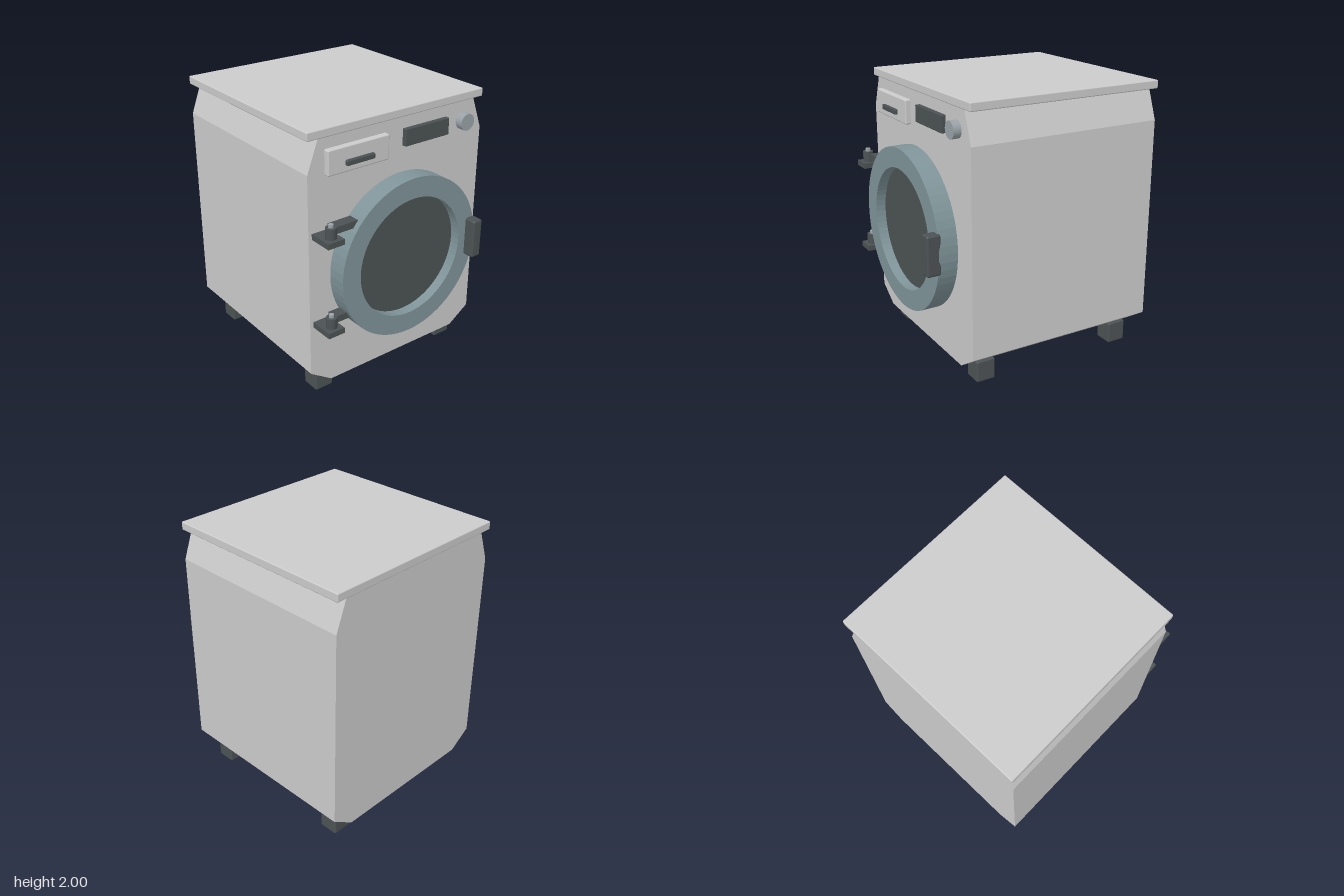
import * as THREE from 'three';
import { RoundedBoxGeometry } from 'three/addons/geometries/RoundedBoxGeometry.js';

const material = (color) => new THREE.MeshStandardMaterial({ color });
const grey = material(0xcccccc);
const dark = material(0x4c5254);
const teal = material(0x7f9499);
const steel = material(0x9ba3a9);

function add(parent, name, geometry, mat) {
  const mesh = new THREE.Mesh(geometry, mat);
  mesh.name = name;
  parent.add(mesh);
  return mesh;
}

// Box given by its [min, max] on each axis, with an optional edge radius
function box(parent, name, [x0, x1], [y0, y1], [z0, z1], mat, radius = 0) {
  const size = [x1 - x0, y1 - y0, z1 - z0];
  const geometry = radius ? new RoundedBoxGeometry(...size, 2, radius) : new THREE.BoxGeometry(...size);
  const mesh = add(parent, name, geometry, mat);
  mesh.position.set((x0 + x1) / 2, (y0 + y1) / 2, (z0 + z1) / 2);
  return mesh;
}

// Cylinder along z between two depths
function disc(parent, name, x, y, radius, z0, z1, mat) {
  const geometry = new THREE.CylinderGeometry(radius, radius, z1 - z0, 32).rotateX(Math.PI / 2);
  const mesh = add(parent, name, geometry, mat);
  mesh.position.set(x, y, (z0 + z1) / 2);
  return mesh;
}

export function createModel() {
  const model = new THREE.Group();
  model.name = 'washingMachine';

  // Cabinet: chamfered front outline extruded to the back
  const half = [[0.57, 0.13], [0.74, 0.245], [0.74, 1.72], [0.655, 1.95]];
  const outline = [...half, ...half.map(([x, y]) => [-x, y]).reverse()];
  const cabinet = new THREE.Shape(outline.map(([x, y]) => new THREE.Vector2(x, y)));
  add(model, 'cabinet', new THREE.ExtrudeGeometry(cabinet, { depth: 1.46, bevelEnabled: false }), grey)
    .position.z = -0.845;
  box(model, 'topPanel', [-0.742, 0.742], [1.94, 2], [-0.855, 0.62], grey, 0.008);

  // Feet
  for (const x of [-0.568, 0.568]) {
    for (const z of [-0.683, 0.457]) {
      box(model, 'foot', [x - 0.072, x + 0.072], [0, 0.16], [z - 0.072, z + 0.072], dark, 0.012);
    }
  }

  // Round door: open ring, recessed window and handle
  const door = new THREE.Group();
  door.name = 'door';
  model.add(door);
  const ring = new THREE.Shape().absarc(0, 0, 0.586, 0, Math.PI * 2, false);
  ring.holes.push(new THREE.Path().absarc(0, 0, 0.44, 0, Math.PI * 2, true));
  add(door, 'doorRing', new THREE.ExtrudeGeometry(ring, { depth: 0.138, bevelEnabled: false, curveSegments: 32 }), teal)
    .position.set(0, 0.98, 0.635);
  disc(door, 'doorWindow', 0, 0.98, 0.445, 0.645, 0.7, dark);
  box(door, 'doorHandle', [0.503, 0.584], [0.84, 1.128], [0.755, 0.857], dark, 0.015);

  // Hinges: wall plate, knuckle, pin and arm
  for (const y of [0.615, 1.275]) {
    const hinge = new THREE.Group();
    hinge.name = 'hinge';
    hinge.position.y = y;
    model.add(hinge);
    box(hinge, 'hingePlate', [-0.714, -0.586], [0, 0.04], [0.61, 0.793], dark);
    add(hinge, 'hingeKnuckle', new THREE.CylinderGeometry(0.038, 0.038, 0.08, 20), dark)
      .position.set(-0.65, 0.076, 0.733);
    add(hinge, 'hingePin', new THREE.CylinderGeometry(0.018, 0.018, 0.138, 16), steel)
      .position.set(-0.65, 0.069, 0.733);
    box(hinge, 'hingeArm', [-0.615, -0.435], [0.053, 0.102], [0.65, 0.73], dark);
  }

  // Control row: drawer with grip, display and dial
  box(model, 'detergentDrawer', [-0.61, -0.12], [1.69, 1.865], [0.6, 0.655], grey, 0.01);
  box(model, 'drawerGrip', [-0.477, -0.252], [1.737, 1.775], [0.635, 0.677], dark, 0.008);
  box(model, 'display', [0.024, 0.408], [1.74, 1.86], [0.6, 0.648], dark, 0.005);
  disc(model, 'dial', 0.562, 1.8, 0.06, 0.6, 0.671, steel);

  return model;
}
